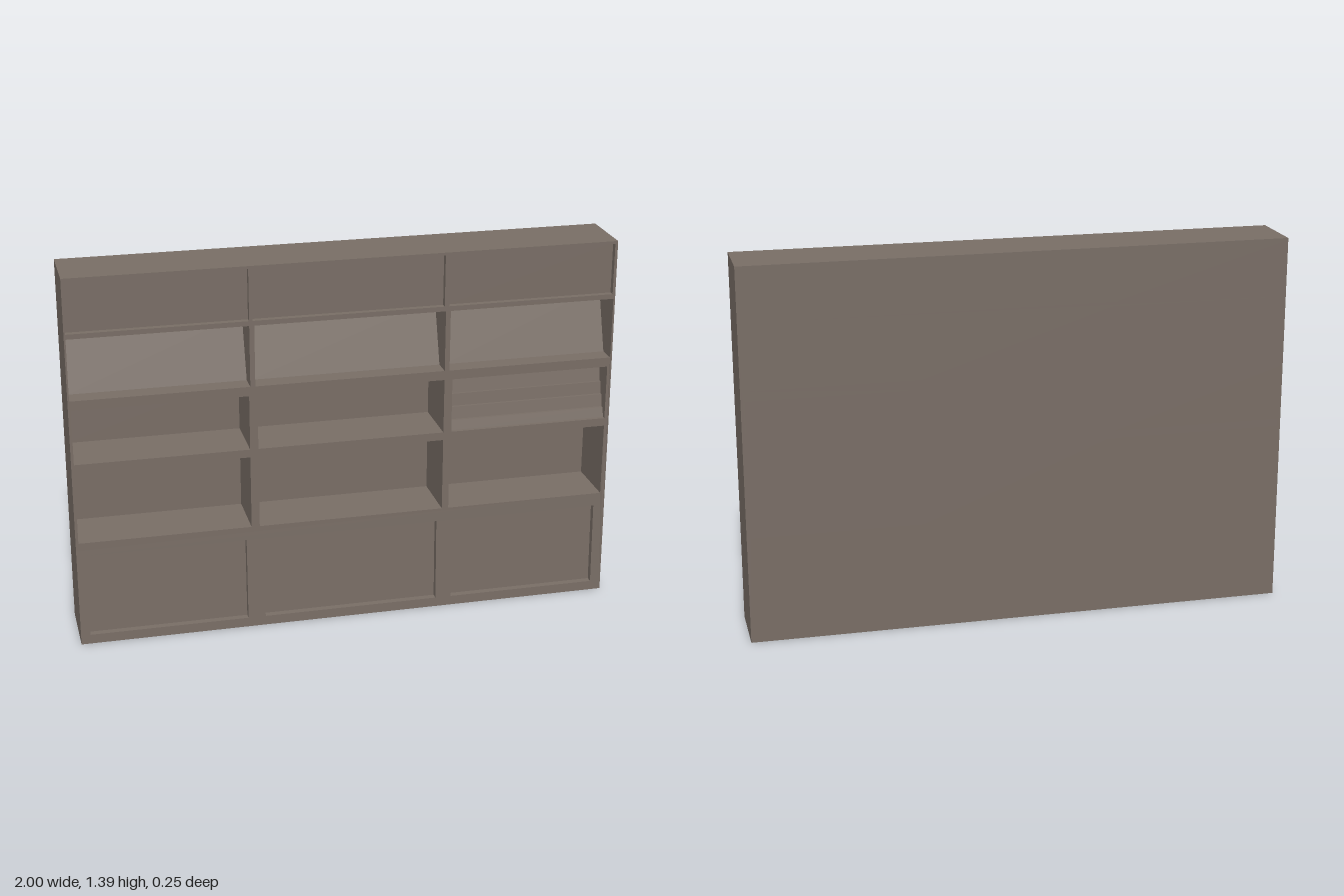
import * as THREE from 'three';

const FRONT = 0.115, BACK = -0.122, DEPTH = FRONT - BACK, HEIGHT = 1.39;

// The plinth zone leans slightly forward towards the floor
function lean(geometry) {
  const p = geometry.attributes.position;
  for (let i = 0; i < p.count; i++) {
    const y = p.getY(i);
    if (y < 0.37 && p.getZ(i) > 0) p.setZ(i, p.getZ(i) + 0.01 * (1 - y / 0.37));
  }
  geometry.computeVertexNormals();
  return geometry;
}

export function createModel() {
  const group = new THREE.Group();
  const wood = new THREE.MeshStandardMaterial({ color: 0x786d65 });
  wood.name = 'greyBrownWood';

  const add = (geometry, name) => {
    const mesh = new THREE.Mesh(lean(geometry), wood);
    mesh.name = name;
    group.add(mesh);
  };
  const polygon = (points, Type = THREE.Shape) => new Type(points.map(([x, y]) => new THREE.Vector2(x, y)));

  // Profiles as [depth behind the front, y], from the bottom of a cell to its top
  const flat = (depth) => (y0, y1) => [[depth, y0], [depth, y1]];
  const sloped = (y0, y1) => [[0.07, y0], [0.145, y1]];
  const stepped = (y0, y1) => [
    [0.015, y0], [0.025, 0.74], [0.036, 0.74], [0.044, 0.785],
    [0.054, 0.785], [0.06, 0.83], [0.07, 0.83], [0.085, y1],
  ];

  // Rows of cells, bottom to top
  const rows = [
    { name: 'lowerDoor', y: [0.035, 0.35], x: [[-0.965, -0.38], [-0.315, 0.34], [0.4, 0.96]], profile: flat(0.025) },
    { name: 'tallShelfBack', y: [0.4, 0.675], x: [[-0.99, -0.36], [-0.33, 0.36], [0.385, 0.985]], profile: flat(0.212) },
    { name: 'shelfBack', y: [0.705, 0.91], x: [[-0.99, -0.36], [-0.33, 0.36], [0.39, 0.985]], profile: flat(0.212), last: stepped },
    { name: 'slopedDisplay', y: [0.945, 1.172], x: [[-0.994, -0.355], [-0.337, 0.36], [0.378, 0.994]], profile: sloped },
    { name: 'upperDoor', y: [1.19, 1.38], x: [[-0.994, -0.355], [-0.343, 0.355], [0.372, 0.99]], profile: flat(0.022) },
  ];

  // Carcass: one slab pierced by every cell
  const outline = polygon([[-1, 0], [1, 0], [1, 0.37], [1, HEIGHT], [-1, HEIGHT], [-1, 0.37]]);
  for (const { x, y: [y0, y1] } of rows) {
    for (const [x0, x1] of x) {
      outline.holes.push(polygon([[x0, y0], [x0, y1], [x1, y1], [x1, y0]], THREE.Path));
    }
  }
  const carcass = new THREE.ExtrudeGeometry(outline, { depth: DEPTH, bevelEnabled: false });
  add(carcass.translate(0, 0, BACK), 'carcass');

  // Fill each cell from its profile to the back of the unit
  for (const row of rows) {
    const [y0, y1] = row.y;
    row.x.forEach(([x0, x1], i) => {
      const special = i === 2 && row.last;
      const profile = (special || row.profile)(y0, y1);
      const shape = polygon([...profile, [DEPTH, y1], [DEPTH, y0]]);
      const fill = new THREE.ExtrudeGeometry(shape, { depth: x1 - x0, bevelEnabled: false });
      fill.rotateY(Math.PI / 2).translate(x0, 0, FRONT);
      add(fill, special ? 'steppedRack' : row.name + (i + 1));
    });
  }
  return group;
}
